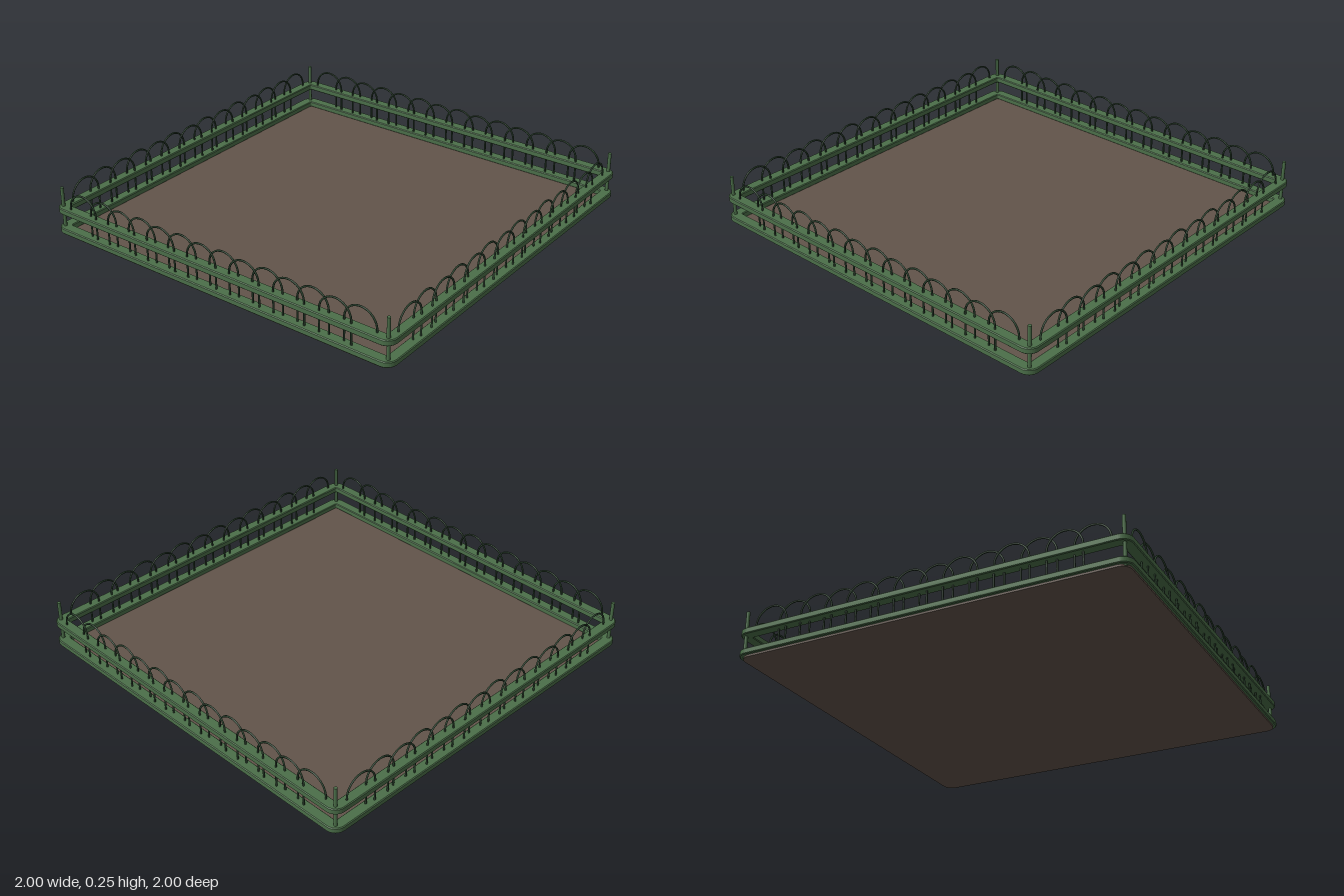
import * as THREE from 'three';

const railGreen = new THREE.MeshStandardMaterial({ color: 0x4b6f49 });
railGreen.name = 'rail green';
const hoopGreen = new THREE.MeshStandardMaterial({ color: 0x2c432f });
hoopGreen.name = 'hoop green';
const soilBrown = new THREE.MeshStandardMaterial({ color: 0x62544a });
soilBrown.name = 'soil brown';

// Traces a square with rounded corners onto a shape or hole path
function roundedSquare(path, half, r) {
  const c = half - r;
  path.moveTo(half, -c);
  path.lineTo(half, c);
  path.absarc(c, c, r, 0, Math.PI / 2);
  path.lineTo(-c, half);
  path.absarc(-c, c, r, Math.PI / 2, Math.PI);
  path.lineTo(-half, -c);
  path.absarc(-c, -c, r, Math.PI, Math.PI * 1.5);
  path.lineTo(c, -half);
  path.absarc(c, -c, r, Math.PI * 1.5, Math.PI * 2);
  return path;
}

// Flat slab, or ring if an inner half-width is given
function slab(name, material, bottom, height, half, radius, inner) {
  const shape = roundedSquare(new THREE.Shape(), half, radius);
  if (inner) shape.holes.push(roundedSquare(new THREE.Path(), inner, 0.008));
  const bevel = inner ? 0.004 : 0;
  const geometry = new THREE.ExtrudeGeometry(shape, {
    depth: height - 2 * bevel, bevelEnabled: bevel > 0, bevelSize: bevel,
    bevelThickness: bevel, bevelOffset: -bevel, bevelSegments: 1, curveSegments: 6,
  });
  geometry.rotateX(-Math.PI / 2);
  geometry.translate(0, bottom + bevel, 0);
  const mesh = new THREE.Mesh(geometry, material);
  mesh.name = name;
  return mesh;
}

// Wire hoop: two straight legs joined by a half circle
function hoopGeometry(leftFoot, rightFoot) {
  const r = 0.086, spring = 0.157;
  const path = new THREE.CurvePath();
  const v = (x, y) => new THREE.Vector3(x, y, 0);
  const arc = [];
  for (let i = 0; i <= 12; i++) {
    const a = Math.PI * (1 - i / 12);
    arc.push(v(r * Math.cos(a), spring + r * Math.sin(a)));
  }
  path.add(new THREE.LineCurve3(v(-r, leftFoot), v(-r, spring)));
  path.add(new THREE.CatmullRomCurve3(arc));
  path.add(new THREE.LineCurve3(v(r, spring), v(r, rightFoot)));
  return new THREE.TubeGeometry(path, 36, 0.0048, 6, false);
}

export function createModel() {
  const model = new THREE.Group();
  model.name = 'fencedGardenBed';

  // Soil bed and the two rails around it
  model.add(slab('soil', soilBrown, 0, 0.012, 0.985, 0.05));
  model.add(slab('lowerRail', railGreen, 0.01, 0.03, 1, 0.055, 0.945));
  model.add(slab('upperRail', railGreen, 0.117, 0.031, 1, 0.055, 0.945));

  // Overlapping hoops, 14 on each side; the end legs stop at the upper rail
  const count = 14, step = 0.1265, foot = 0.005, railFoot = 0.125;
  const middle = hoopGeometry(foot, foot);
  const first = hoopGeometry(railFoot, foot);
  const last = hoopGeometry(foot, railFoot);
  ['front', 'left', 'back', 'right'].forEach((side, k) => {
    const group = new THREE.Group();
    group.name = side + 'Hoops';
    for (let i = 0; i < count; i++) {
      const geometry = i === 0 ? first : i === count - 1 ? last : middle;
      const hoop = new THREE.Mesh(geometry, hoopGreen);
      hoop.name = 'hoop';
      hoop.position.set((i - (count - 1) / 2) * step, 0, i % 2 ? 0.965 : 0.975);
      group.add(hoop);
    }
    group.rotation.y = k * Math.PI / 2;
    model.add(group);
  });

  // Corner posts
  const postGeometry = new THREE.CylinderGeometry(0.009, 0.009, 0.243, 10);
  for (const x of [-0.968, 0.968]) {
    for (const z of [-0.968, 0.968]) {
      const post = new THREE.Mesh(postGeometry, railGreen);
      post.name = 'cornerPost';
      post.position.set(x, 0.1265, z);
      model.add(post);
    }
  }
  return model;
}
